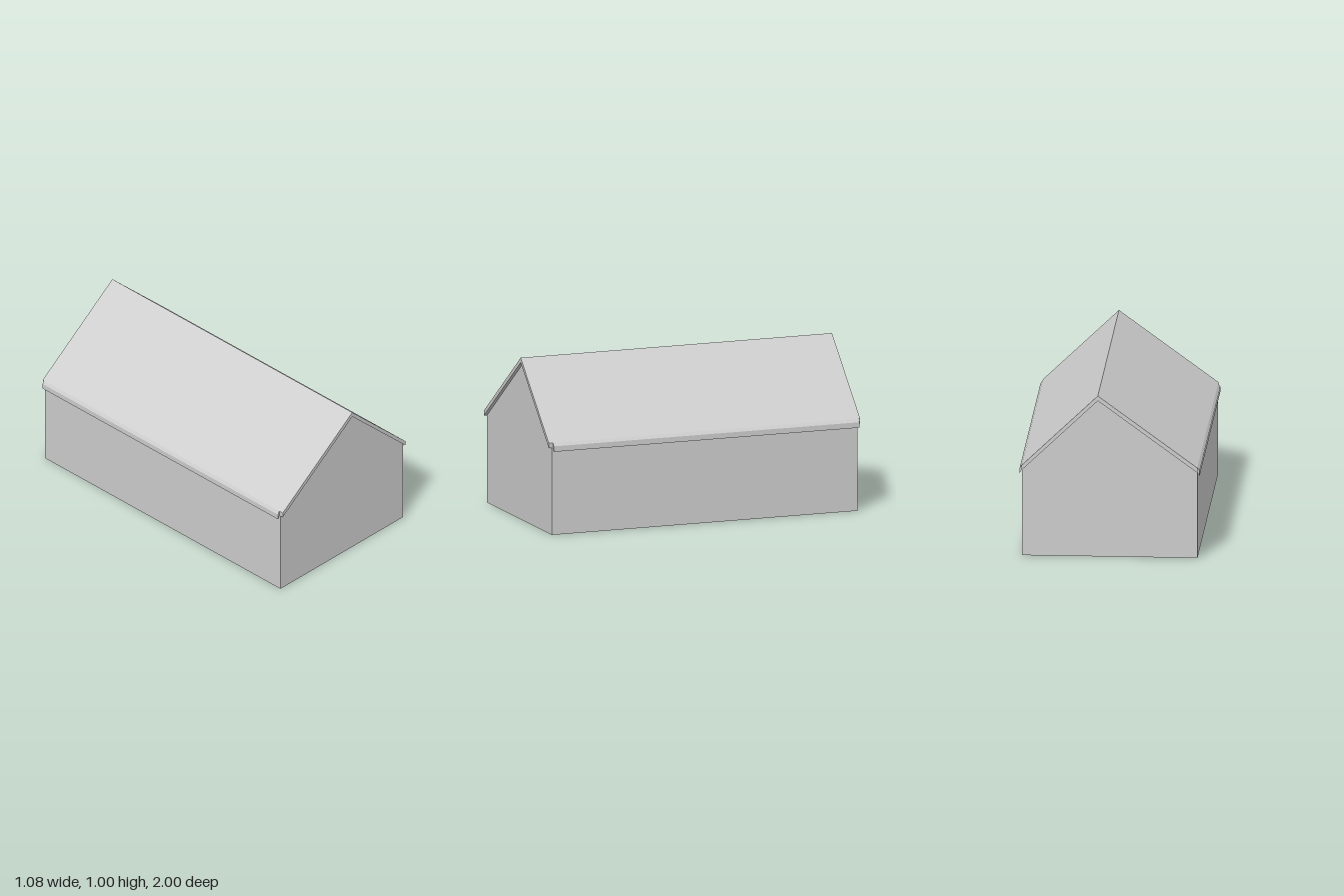
import * as THREE from 'three';

const HALF = 0.525, RIDGE_X = 0.07, EAVE = 0.53, RIDGE = 0.965, ROOF = 0.03;

// Extrudes an x/y outline between two z positions
function prism(name, points, zBack, zFront, material) {
  const shape = new THREE.Shape(points.map(([x, y]) => new THREE.Vector2(x, y)));
  const geometry = new THREE.ExtrudeGeometry(shape, { depth: zFront - zBack, bevelEnabled: false });
  geometry.translate(0, 0, zBack);
  const mesh = new THREE.Mesh(geometry, material);
  mesh.name = name;
  return mesh;
}

export function createModel() {
  const group = new THREE.Group();
  group.name = 'gabledBuilding';
  const material = new THREE.MeshStandardMaterial({ color: 0xcccccc });

  // Walls with off-centre gable ends
  group.add(prism('walls', [
    [-HALF, 0], [HALF, 0], [HALF, EAVE], [RIDGE_X, RIDGE], [-HALF, EAVE],
  ], -0.983, 0.98, material));

  // Thin roof slab over both slopes
  group.add(prism('roof', [
    [-HALF, EAVE], [RIDGE_X, RIDGE], [HALF, EAVE],
    [HALF, EAVE + ROOF], [RIDGE_X, RIDGE + ROOF], [-HALF, EAVE + ROOF],
  ], -1, 1, material));

  // Drooping eave strips along both long sides
  for (const [name, s] of [['leftEave', 1], ['rightEave', -1]]) {
    group.add(prism(name, [
      [s * HALF, EAVE], [s * 0.538, 0.508], [s * 0.538, 0.541], [s * HALF, EAVE + ROOF],
    ], -0.99, 0.972, material));
  }
  return group;
}
